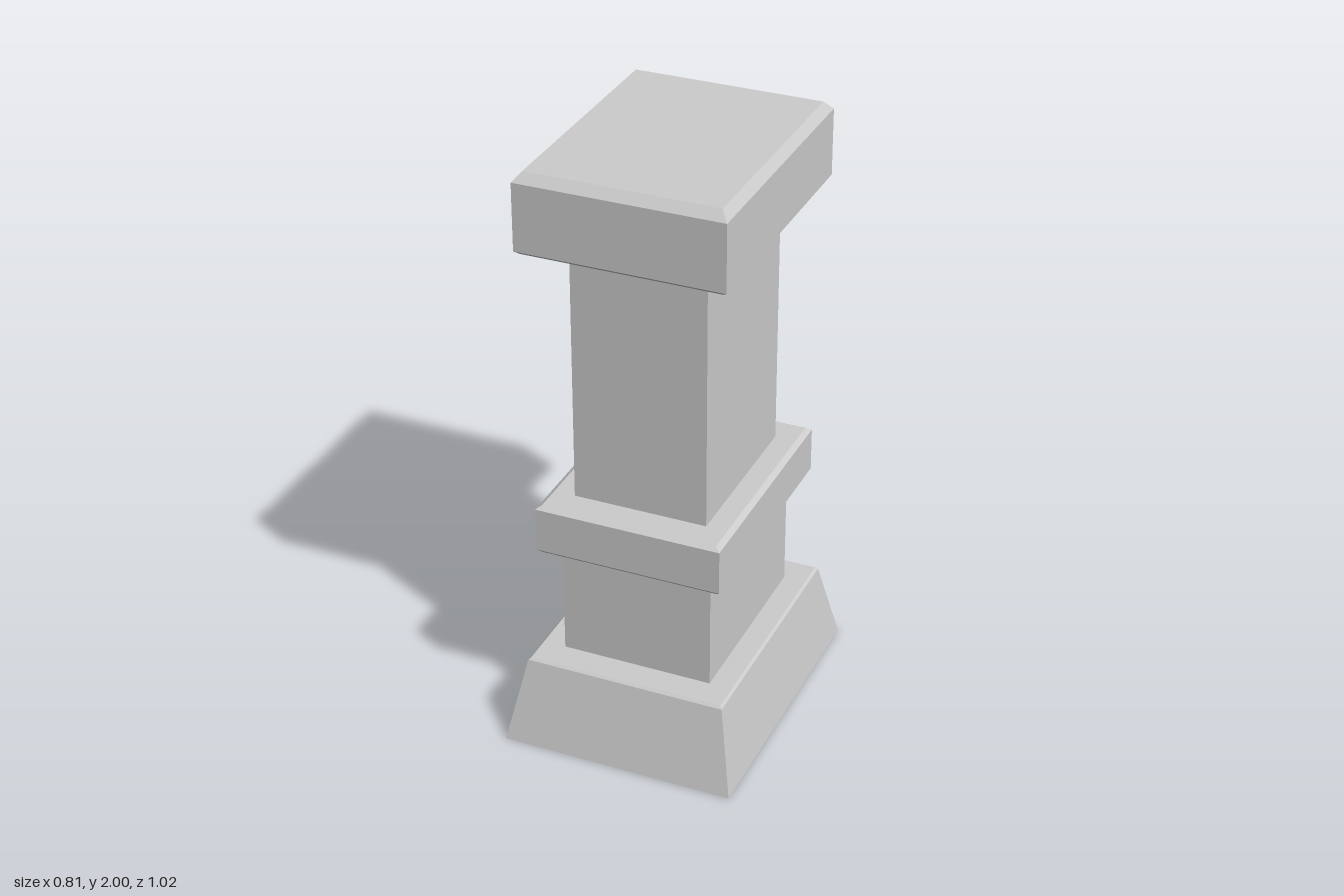
import * as THREE from 'three';

const material = new THREE.MeshStandardMaterial({ color: 0xcccccc, flatShading: true });

// Closed block from stacked rectangles, bottom to top: [y, halfWidth, halfDepth]
function stackedBlock(name, sections) {
  const positions = [];
  const rings = sections.map(([y, w, d]) => [[-w, y, d], [w, y, d], [w, y, -d], [-w, y, -d]]);
  const quad = (a, b, c, d) => positions.push(...a, ...b, ...c, ...a, ...c, ...d);

  for (let i = 0; i < rings.length - 1; i++) {
    const low = rings[i], high = rings[i + 1];
    for (let k = 0; k < 4; k++) {
      const n = (k + 1) % 4;
      quad(low[k], low[n], high[n], high[k]);
    }
  }
  quad(...rings[rings.length - 1]);
  quad(...[...rings[0]].reverse());

  const geometry = new THREE.BufferGeometry();
  geometry.setAttribute('position', new THREE.Float32BufferAttribute(positions, 3));
  geometry.computeVertexNormals();
  const mesh = new THREE.Mesh(geometry, material);
  mesh.name = name;
  return mesh;
}

export function createModel() {
  const pillar = new THREE.Group();
  pillar.name = 'pillar';

  pillar.add(
    // Flared foot
    stackedBlock('base', [[0, 0.39, 0.497], [0.283, 0.335, 0.427], [0.291, 0.327, 0.419]]),
    // Two shaft lengths, the upper one slimmer
    stackedBlock('lowerShaft', [[0.285, 0.252, 0.325], [0.69, 0.252, 0.325]]),
    stackedBlock('upperShaft', [[0.84, 0.222, 0.29], [1.75, 0.222, 0.29]]),
    // Bevelled collar between the shafts
    stackedBlock('collar', [
      [0.679, 0.292, 0.379], [0.694, 0.309, 0.395], [0.842, 0.309, 0.395], [0.854, 0.292, 0.379],
    ]),
    // Bevelled capstone
    stackedBlock('cap', [
      [1.736, 0.32, 0.412], [1.749, 0.336, 0.428], [1.97, 0.336, 0.428], [2, 0.311, 0.4],
    ]),
  );

  // The pillar stands slightly turned
  pillar.rotation.y = -0.031;

  const model = new THREE.Group();
  model.name = 'stonePillar';
  model.add(pillar);
  return model;
}
